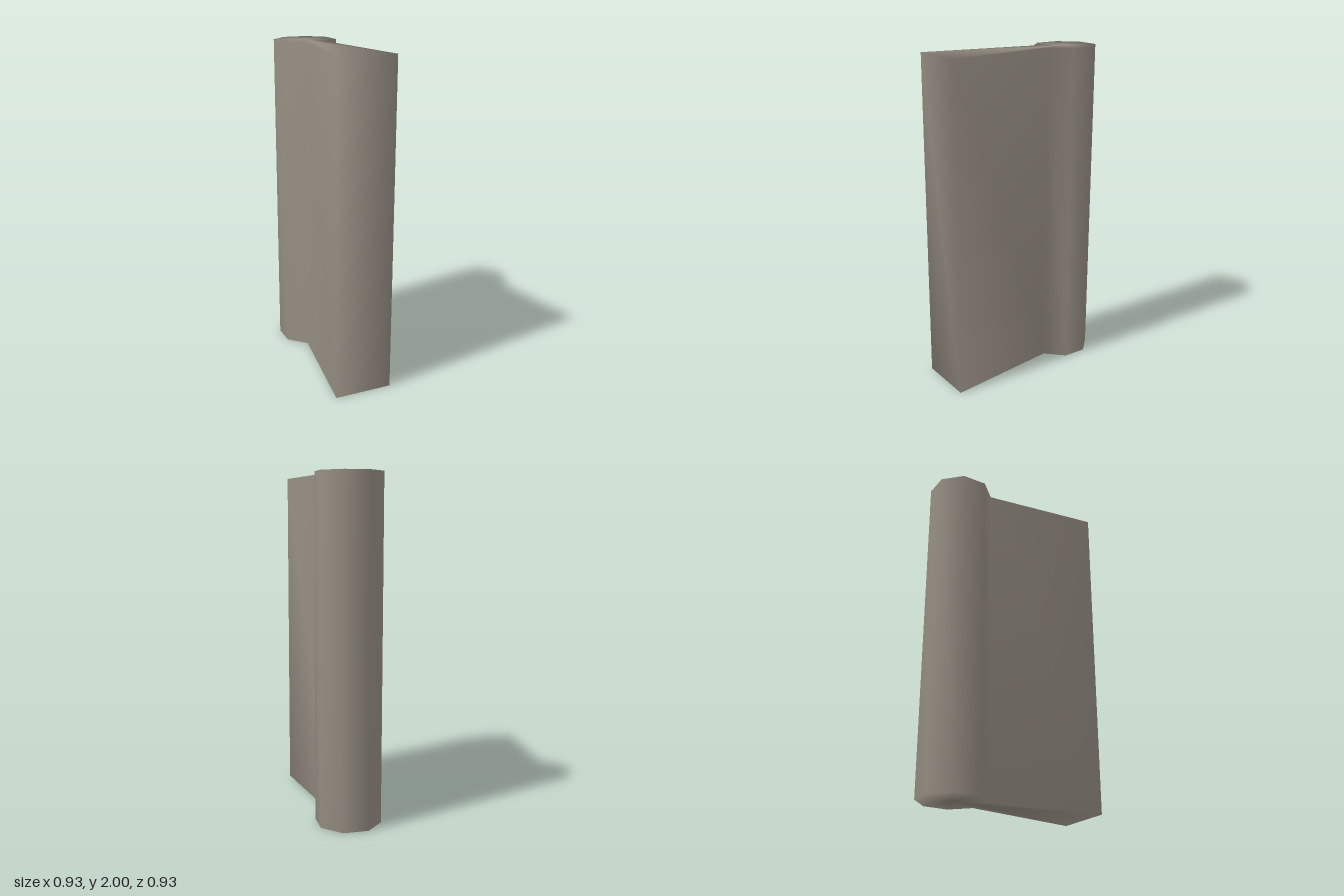
import * as THREE from 'three';

// Octagonal post with a wall that widens away from it, as one smooth welded prism.
export function createModel() {
  const stone = new THREE.MeshStandardMaterial({ color: 0x968e83 });
  stone.name = 'warm grey stone';

  const height = 2;
  const centre = -0.287;
  const radius = 0.193;

  // Outline: eight post corners, then the two far corners of the wall
  const outline = [];
  for (let k = 0; k < 8; k++) {
    const angle = Math.PI * (3 / 8 + k / 4);
    outline.push([centre + radius * Math.cos(angle), centre + radius * Math.sin(angle)]);
  }
  outline.push([0.463, 0.212], [0.212, 0.463]);
  const count = outline.length;

  // Two inner cap points: the post centre and the middle of the joint
  const hub = count;
  const joint = count + 1;
  const points = [...outline, [centre, centre], [-0.161, -0.161]];
  const top = points.length;
  const positions = [];
  for (const y of [0, height]) {
    for (const [x, z] of points) positions.push(x, y, z);
  }

  const index = [];
  const cap = (c, i, j) => {
    index.push(c, i, j); // bottom
    index.push(top + c, top + j, top + i); // top
  };

  // Sides
  for (let i = 0; i < count; i++) {
    const j = (i + 1) % count;
    index.push(i, top + i, top + j, i, top + j, j);
  }

  // Post caps
  for (let i = 0; i < 7; i++) cap(hub, i, i + 1);
  cap(hub, 7, joint);
  cap(hub, joint, 0);

  // Wall caps
  for (let i = 7; i < count; i++) cap(joint, i, (i + 1) % count);

  const geometry = new THREE.BufferGeometry();
  geometry.setAttribute('position', new THREE.Float32BufferAttribute(positions, 3));
  geometry.setIndex(index);
  geometry.computeVertexNormals();

  const wall = new THREE.Mesh(geometry, stone);
  wall.name = 'postAndWall';

  const group = new THREE.Group();
  group.name = 'wallEnd';
  group.add(wall);
  return group;
}
